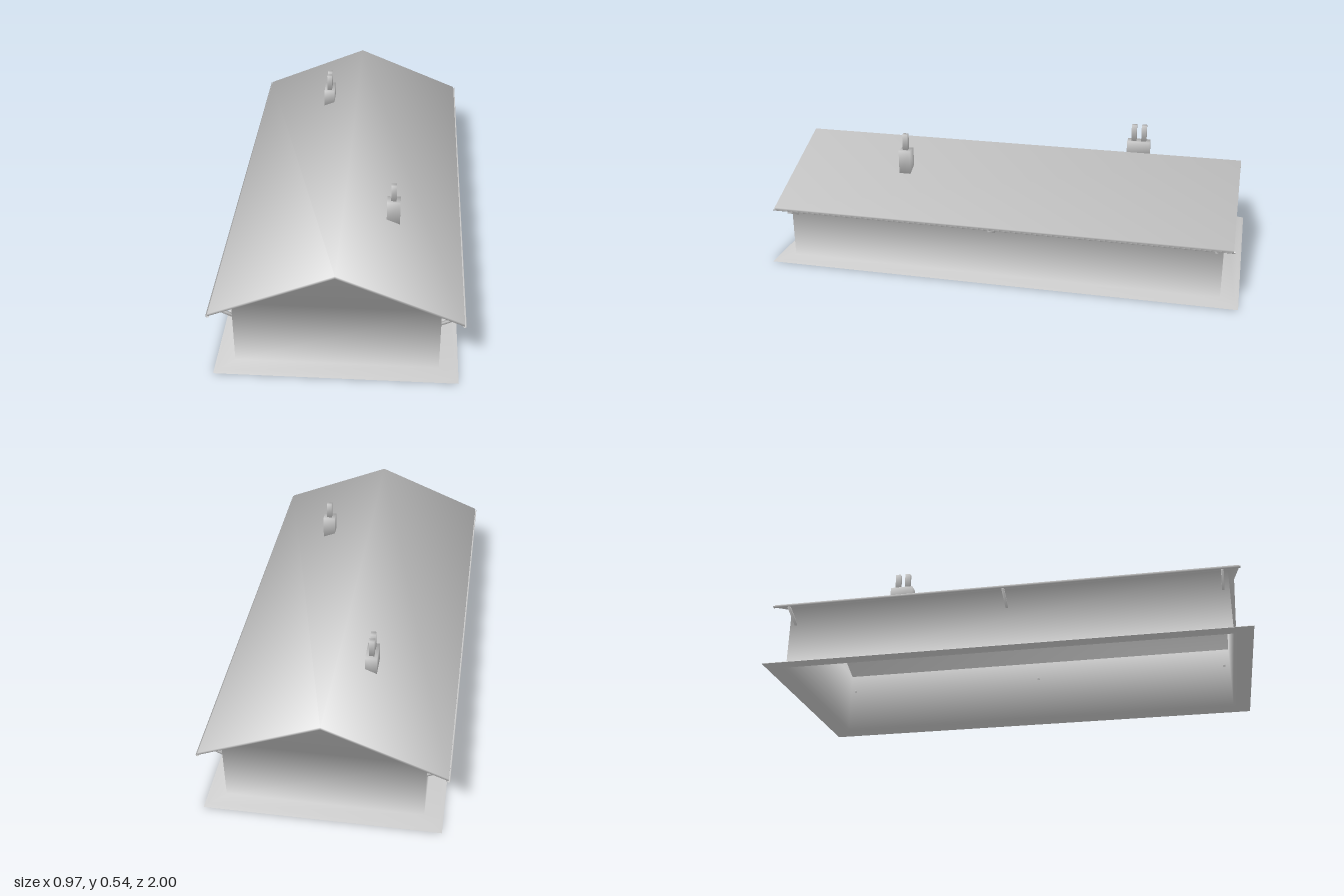
import * as THREE from 'three';
import { mergeVertices } from 'three/addons/utils/BufferGeometryUtils.js';

const material = new THREE.MeshStandardMaterial({ color: 0xcccccc, side: THREE.DoubleSide });

// Shares vertices and averages their normals, weighting each face by its corner angle
function smooth(source) {
  source.deleteAttribute('normal');
  source.deleteAttribute('uv');
  const geometry = mergeVertices(source, 1e-5);
  const position = geometry.attributes.position, index = geometry.index;
  const normals = Array.from({ length: position.count }, () => new THREE.Vector3());
  for (let f = 0; f < index.count; f += 3) {
    const ids = [0, 1, 2].map((k) => index.getX(f + k));
    const points = ids.map((id) => new THREE.Vector3().fromBufferAttribute(position, id));
    const faceNormal = new THREE.Triangle(...points).getNormal(new THREE.Vector3());
    for (let k = 0; k < 3; k++) {
      const u = points[(k + 1) % 3].clone().sub(points[k]);
      const v = points[(k + 2) % 3].clone().sub(points[k]);
      normals[ids[k]].addScaledVector(faceNormal, u.angleTo(v));
    }
  }
  const data = normals.flatMap((n) => n.normalize().toArray());
  geometry.setAttribute('normal', new THREE.Float32BufferAttribute(data, 3));
  return geometry;
}

function addMesh(parent, geometry, name) {
  const mesh = new THREE.Mesh(smooth(geometry), material);
  mesh.name = name;
  parent.add(mesh);
  return mesh;
}

// Open-bottomed shell: ground skirt, walls with gables, eaves and roof
function shellGeometry() {
  const positions = [], index = [];
  const point = (x, y, z) => positions.push(x, y, z) / 3 - 1;
  const quad = (a, b, c, d) => index.push(a, b, c, a, c, d);
  const band = (low, high) => low.forEach((a, i) => {
    const j = (i + 1) % low.length;
    quad(low[j], a, high[i], high[j]);
  });
  const rectangle = (w, d, y) => [[w, d], [-w, d], [-w, -d], [w, -d]].map(([x, z]) => point(x, y, z));
  // six points: four corners with a raised middle at each gable
  const gabled = (w, d, y, ridgeY) => {
    const [a, b, c, e] = rectangle(w, d, y);
    return [a, point(0, ridgeY, d), b, c, point(0, ridgeY, -d), e];
  };

  const skirtEdge = rectangle(0.47, 1.0, 0);
  const skirtTop = rectangle(0.457, 0.987, 0.008);
  const foot = rectangle(0.395, 0.925, 0.008);
  const wallTop = gabled(0.395, 0.925, 0.287, 0.45);
  const eaveUnder = gabled(0.48, 0.965, 0.252, 0.45);
  const roofTop = gabled(0.48, 0.965, 0.263, 0.462);

  band(skirtEdge, skirtTop);
  band(skirtTop, foot);
  band(foot, [0, 2, 3, 5].map((i) => wallTop[i]));
  for (const i of [0, 3]) index.push(wallTop[i], wallTop[i + 1], wallTop[i + 2]);
  band(wallTop, eaveUnder);
  band(eaveUnder, roofTop);
  quad(roofTop[0], roofTop[5], roofTop[4], roofTop[1]);
  quad(roofTop[1], roofTop[4], roofTop[3], roofTop[2]);

  const geometry = new THREE.BufferGeometry();
  geometry.setAttribute('position', new THREE.Float32BufferAttribute(positions, 3));
  geometry.setIndex(index);
  return geometry;
}

// Chimney stack cut to the roof slope, with one or more square pots
function makeChimney(name, x, z, width, depth, top, potTop, potOffsets) {
  const group = new THREE.Group();
  group.name = name;
  const roofY = (px) => 0.456 - Math.abs(px) * 0.413;
  const x0 = x - width / 2, x1 = x + width / 2;
  const outline = new THREE.Shape([
    new THREE.Vector2(x0, roofY(x0)), new THREE.Vector2(x1, roofY(x1)),
    new THREE.Vector2(x1, top), new THREE.Vector2(x0, top),
  ]);
  const stack = new THREE.ExtrudeGeometry(outline, { depth, bevelEnabled: false });
  stack.translate(0, 0, z - depth / 2);
  addMesh(group, stack, 'chimneyStack');
  for (const dz of potOffsets) {
    const pot = addMesh(group, new THREE.BoxGeometry(0.022, potTop - top, 0.022), 'chimneyPot');
    pot.position.set(x, (top + potTop) / 2, z + dz);
  }
  return group;
}

export function createModel() {
  const model = new THREE.Group();
  model.name = 'longHouse';
  addMesh(model, shellGeometry(), 'wallsAndRoof');

  // Eave gutters and the sloping struts under them
  const from = new THREE.Vector2(0.392, 0.206), to = new THREE.Vector2(0.482, 0.249);
  const length = from.distanceTo(to), angle = Math.atan2(to.y - from.y, to.x - from.x);
  for (const side of [1, -1]) {
    const trough = new THREE.CylinderGeometry(0.007, 0.007, 1.94, 8, 1, true, -Math.PI / 2, Math.PI);
    trough.rotateX(Math.PI / 2);
    addMesh(model, trough, side > 0 ? 'leftGutter' : 'rightGutter').position.set(side * 0.479, 0.257, 0);
    for (const z of [0.9, 0.02, -0.9]) {
      const strut = addMesh(model, new THREE.BoxGeometry(length, 0.01, 0.01), 'eaveStrut');
      strut.position.set(side * (from.x + to.x) / 2, (from.y + to.y) / 2, z);
      strut.rotation.z = side * angle;
    }
  }

  model.add(makeChimney('frontChimney', 0.2, 0.46, 0.054, 0.05, 0.47, 0.54, [0]));
  model.add(makeChimney('backChimney', -0.134, -0.515, 0.048, 0.1, 0.472, 0.544, [-0.022, 0.022]));
  return model;
}
